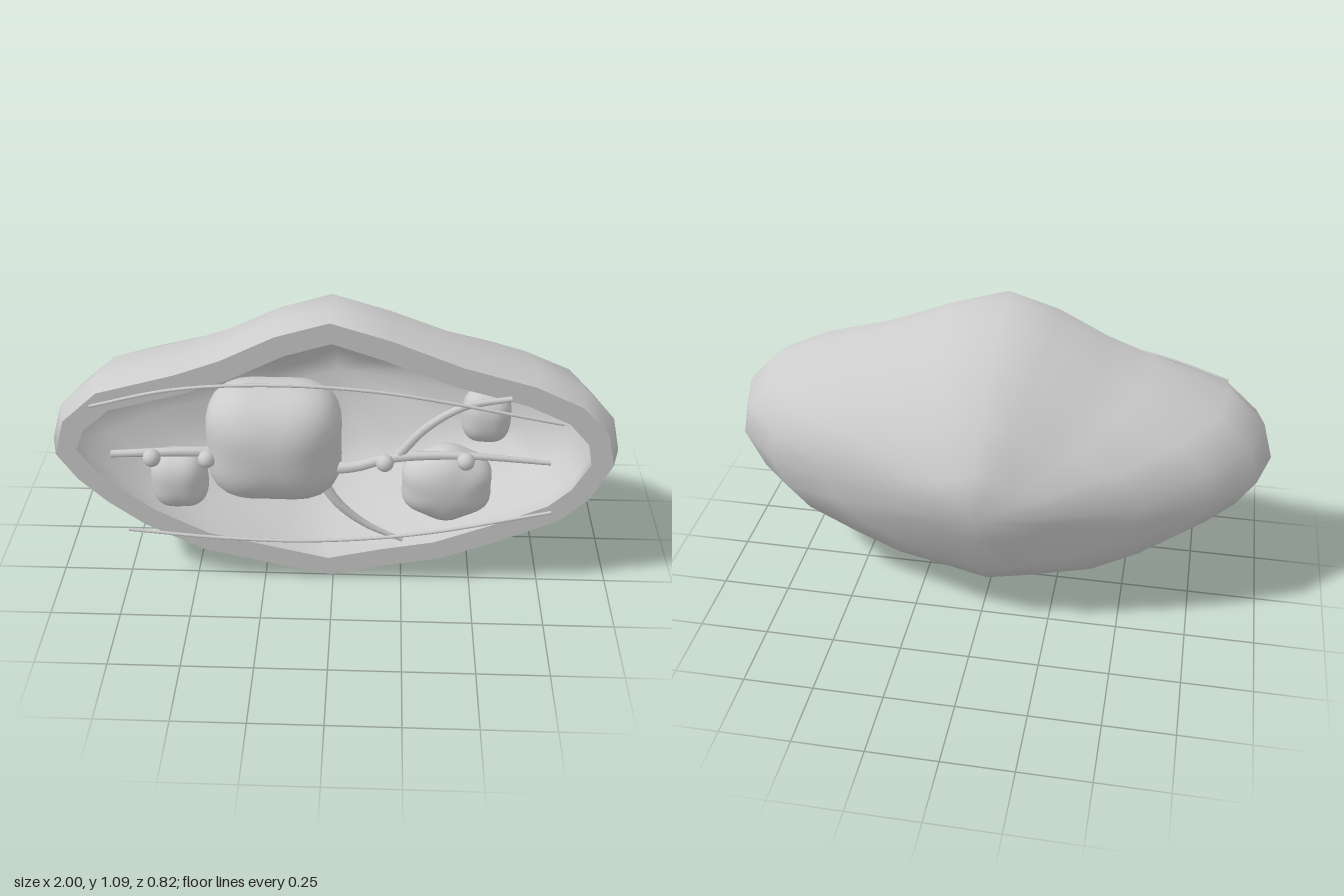
import * as THREE from 'three';
import { mergeVertices } from 'three/addons/utils/BufferGeometryUtils.js';

const CY = 0.53, RIM_Z = 0.27, WALL = 0.077;

// Shell outline, clockwise seen from the front, relative to (0, CY)
const outline = [
  [-1, 0], [-0.96, 0.14], [-0.83, 0.26], [-0.55, 0.34], [-0.39, 0.4], [-0.2, 0.497],
  [-0.01, 0.555], [0.2, 0.49], [0.45, 0.39], [0.7, 0.32], [0.87, 0.24], [0.97, 0.13], [1, 0],
  [0.93, -0.15], [0.83, -0.25], [0.62, -0.35], [0.4, -0.44], [0.2, -0.48], [-0.01, -0.53],
  [-0.2, -0.49], [-0.49, -0.42], [-0.7, -0.31], [-0.83, -0.21], [-0.93, -0.11],
];
const N = outline.length;

// Depth rings: scale of the outline, then z at the sides, top and bottom
const rings = [
  [0.97, RIM_Z, RIM_Z, RIM_Z], [1, 0.17, 0.175, 0.175], [0.95, 0, 0.04, 0.04],
  [0.8, -0.15, -0.11, -0.18], [0.56, -0.25, -0.265, -0.295], [0.28, -0.33, -0.362, -0.328],
];
const apex = [0, CY, -0.41];

function ringPoints([s, side, top, bottom]) {
  return outline.map(([x, y]) => {
    const w = (y * y) / (y * y + 0.29 * x * x);
    const z = THREE.MathUtils.lerp(side, y > 0 ? top : bottom, w);
    return [x * s, CY + y * s, z];
  });
}

function meshFrom(points, index) {
  const g = new THREE.BufferGeometry();
  g.setAttribute('position', new THREE.Float32BufferAttribute(points.flat(), 3));
  g.setIndex(index);
  g.computeVertexNormals();
  return g;
}

// Triangles between successive closed loops of N points
function bandIndex(loopCount) {
  const index = [];
  for (let r = 0; r < loopCount - 1; r++) {
    for (let i = 0; i < N; i++) {
      const a = r * N + i, b = r * N + (i + 1) % N;
      index.push(a, b, a + N, b, b + N, a + N);
    }
  }
  return index;
}

// Outer skin: bands of rings closed by a fan at the back
function outerSkin() {
  const index = bandIndex(rings.length), last = (rings.length - 1) * N;
  for (let i = 0; i < N; i++) index.push(last + i, last + (i + 1) % N, last + N);
  return meshFrom([...rings.flatMap(ringPoints), apex], index);
}

// Inner wall: the outer skin moved inward by the wall thickness and turned over
function innerSkin(outer) {
  const g = outer.clone();
  const p = g.attributes.position, v = new THREE.Vector3(), nrm = new THREE.Vector3();
  for (let i = 0; i < p.count; i++) {
    nrm.fromBufferAttribute(outer.attributes.normal, i);
    if (i < N) nrm.setZ(0).normalize();
    v.fromBufferAttribute(p, i).addScaledVector(nrm, -WALL);
    p.setXYZ(i, v.x, v.y, v.z);
  }
  g.setIndex(Array.from(outer.index.array).reverse());
  g.computeVertexNormals();
  return g;
}

// Front loop of a shell skin
function frontLoop(g) {
  const p = g.attributes.position;
  return outline.map((_, i) => [p.getX(i), p.getY(i), p.getZ(i)]);
}

// Lumpy body: boxy from the front, rounded in depth, with gentle waves
function blobGeometry(rx, ry, rz, power, wave, lobes, phase) {
  const g = new THREE.IcosahedronGeometry(1, 7);
  g.deleteAttribute('normal');
  g.deleteAttribute('uv');
  const m = mergeVertices(g, 1e-4), p = m.attributes.position;
  const v = new THREE.Vector3();
  for (let i = 0; i < p.count; i++) {
    v.fromBufferAttribute(p, i).normalize();
    const side = Math.pow(Math.abs(v.x) ** power + Math.abs(v.y) ** power, 1 / power);
    const k = Math.pow(side ** 2.4 + Math.abs(v.z) ** 2.4, -1 / 2.4);
    const flat = v.x * v.x + v.y * v.y;
    const lump = 1 + wave * flat * Math.cos(lobes * Math.atan2(v.y, v.x) + phase);
    v.multiplyScalar(k * lump);
    p.setXYZ(i, v.x * rx, v.y * ry, v.z * rz);
  }
  m.computeVertexNormals();
  return m;
}

// Tapered tube along a smooth curve
function strandGeometry(points, r0, r1) {
  const curve = new THREE.CatmullRomCurve3(points.map((q) => new THREE.Vector3(...q)));
  const segs = 24, sides = 8;
  const g = new THREE.TubeGeometry(curve, segs, 1, sides);
  const p = g.attributes.position, v = new THREE.Vector3();
  for (let i = 0; i < p.count; i++) {
    const t = Math.floor(i / (sides + 1)) / segs;
    const c = curve.getPointAt(t);
    v.fromBufferAttribute(p, i).sub(c).multiplyScalar(THREE.MathUtils.lerp(r0, r1, t)).add(c);
    p.setXYZ(i, v.x, v.y, v.z);
  }
  return g;
}

export function createModel() {
  const model = new THREE.Group();
  model.name = 'halfShellCell';
  const grey = new THREE.MeshStandardMaterial({ color: 0xcccccc, side: THREE.DoubleSide });
  grey.name = 'lightGrey';
  const add = (name, geometry, pos = [0, 0, 0]) => {
    const mesh = new THREE.Mesh(geometry, grey);
    mesh.name = name;
    mesh.position.set(...pos);
    model.add(mesh);
  };

  // Shell: outside, hollow inside and the flat cut rim
  const outer = outerSkin();
  const inner = innerSkin(outer);
  add('outerShell', outer);
  add('innerShell', inner);
  add('cutRim', meshFrom([...frontLoop(inner), ...frontLoop(outer)], bandIndex(2)));

  // Rounded bodies inside the hollow
  add('nucleus', blobGeometry(0.24, 0.217, 0.18, 2.9, 0.03, 4, Math.PI), [-0.205, 0.588, 0.228]);
  add('lowerLeftBody', blobGeometry(0.104, 0.114, 0.088, 2.5, 0.03, 4, 2.8), [-0.555, 0.385, 0.185]);
  add('lowerRightBody', blobGeometry(0.162, 0.142, 0.1, 2.1, 0.04, 6, Math.PI), [0.4, 0.42, 0.23]);
  add('upperRightBody', blobGeometry(0.086, 0.098, 0.075, 2.4, 0.03, 4, 3.4), [0.525, 0.692, 0.21]);

  // Strands reaching out from the nucleus
  const strands = {
    leftStrand: [[[-0.38, 0.57, 0.29], [-0.55, 0.568, 0.295], [-0.77, 0.547, 0.285]], 0.02, 0.013],
    rightStrand: [[[-0.03, 0.5, 0.28], [0.08, 0.52, 0.29], [0.2, 0.565, 0.3], [0.45, 0.58, 0.3],
      [0.75, 0.547, 0.285]], 0.022, 0.008],
    upperBranch: [[[0.23, 0.58, 0.295], [0.32, 0.69, 0.295], [0.44, 0.77, 0.29],
      [0.6, 0.8, 0.28]], 0.018, 0.01],
    lowerBranch: [[[-0.05, 0.47, 0.28], [0.02, 0.36, 0.29], [0.12, 0.265, 0.285],
      [0.25, 0.19, 0.275]], 0.022, 0.007],
    upperFilament: [[[-0.82, 0.755, 0.308], [-0.55, 0.83, 0.318], [-0.25, 0.86, 0.323],
      [0.15, 0.84, 0.318], [0.78, 0.71, 0.29]], 0.006, 0.006],
    lowerFilament: [[[-0.73, 0.24, 0.315], [-0.4, 0.217, 0.322], [-0.08, 0.212, 0.322],
      [0.3, 0.245, 0.312], [0.77, 0.34, 0.292]], 0.006, 0.006],
  };
  for (const [name, [points, r0, r1]] of Object.entries(strands)) {
    add(name, strandGeometry(points, r0, r1));
  }

  // Small beads riding on the strands
  for (const [x, y] of [[-0.62, 0.565], [-0.43, 0.565], [0.18, 0.565], [0.455, 0.578]]) {
    add('bead', new THREE.SphereGeometry(0.031, 14, 10), [x, y, 0.331]);
  }
  return model;
}
